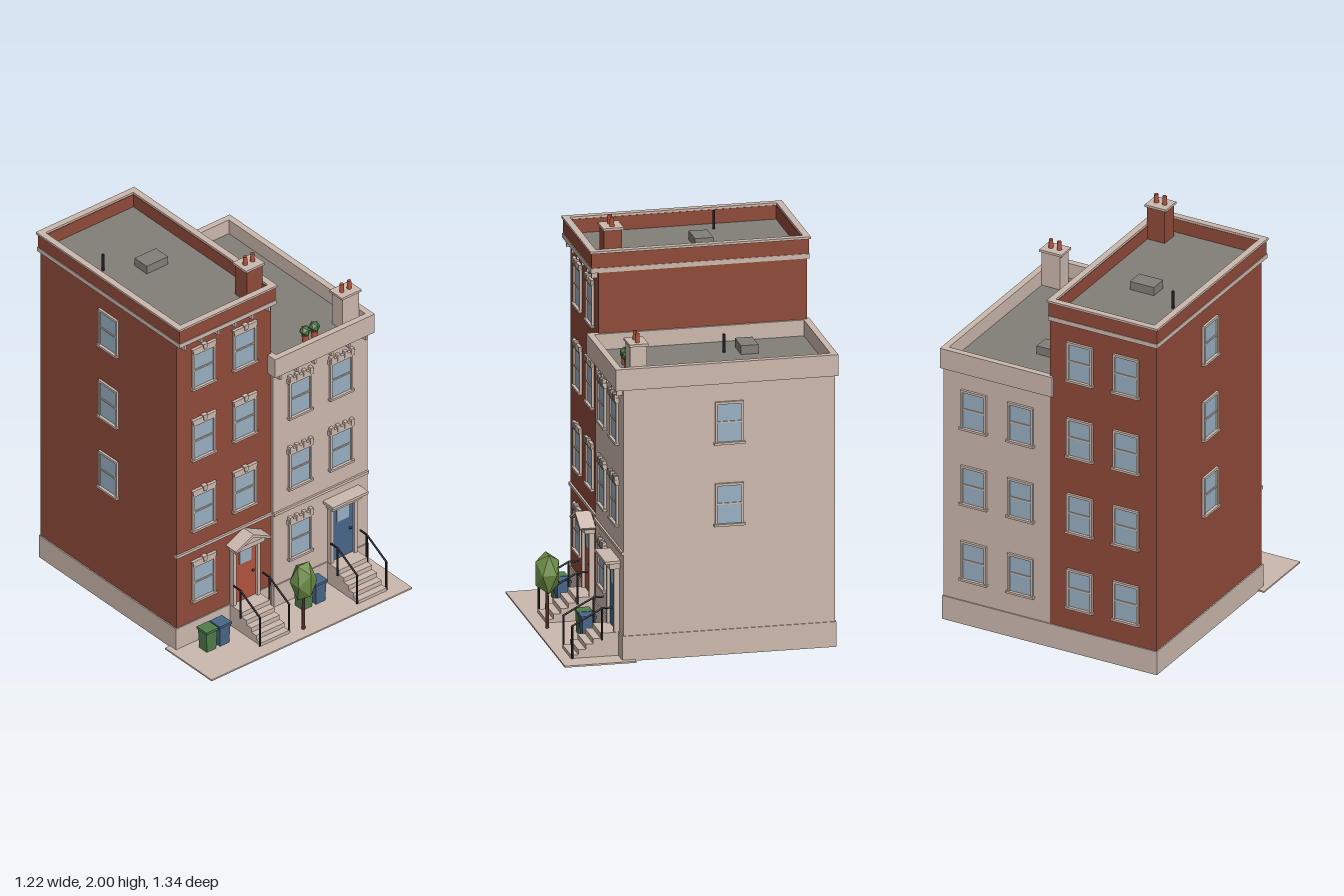
import * as THREE from 'three';

const mat = (name, color, flatShading = false) => {
  const m = new THREE.MeshStandardMaterial({ color });
  m.name = name;
  m.flatShading = flatShading;
  return m;
};

export function createModel() {
  const model = new THREE.Group();
  model.name = 'townhouses';
  const brick = mat('brick', 0x8f4a39), stone = mat('stone', 0xcbb8ad), tar = mat('roof', 0x827e78);
  const glass = mat('glass', 0x98b0c3), red = mat('red', 0xb0543e), blue = mat('blue', 0x486688);
  const green = mat('green', 0x4f7d4b, true), leaf = mat('leaf', 0x6b8c44, true);
  const black = mat('iron', 0x1e1e20), bark = mat('bark', 0x4f2c22);

  const add = (parent, name, geo, material, x = 0, y = 0, z = 0) => {
    const m = new THREE.Mesh(geo, material);
    m.name = name;
    m.position.set(x, y, z);
    parent.add(m);
    return m;
  };
  const group = (parent, name, x = 0, y = 0, z = 0, turn = 0) => {
    const g = new THREE.Group();
    g.name = name;
    g.position.set(x, y, z);
    g.rotation.y = turn;
    parent.add(g);
    return g;
  };
  // Box from its limits
  const box = (p, name, m, x0, x1, y0, y1, z0, z1) =>
    add(p, name, new THREE.BoxGeometry(x1 - x0, y1 - y0, z1 - z0), m, (x0 + x1) / 2, (y0 + y1) / 2, (z0 + z1) / 2);
  const extrude = (p, name, m, pts, z0, z1) => {
    const s = new THREE.Shape(pts.map(a => new THREE.Vector2(...a)));
    return add(p, name, new THREE.ExtrudeGeometry(s, { depth: z1 - z0, bevelEnabled: false }), m, 0, 0, z0);
  };
  // Upright rectangular tube: outer limits, wall thickness, heights
  const ring = (p, name, m, x0, x1, z0, z1, t, y0, y1) => {
    const s = new THREE.Shape([[x0, -z1], [x1, -z1], [x1, -z0], [x0, -z0]].map(a => new THREE.Vector2(...a)));
    s.holes.push(new THREE.Path([[x0 + t, -z1 + t], [x0 + t, -z0 - t], [x1 - t, -z0 - t], [x1 - t, -z1 + t]]
      .map(a => new THREE.Vector2(...a))));
    const geo = new THREE.ExtrudeGeometry(s, { depth: y1 - y0, bevelEnabled: false });
    geo.rotateX(-Math.PI / 2);
    return add(p, name, geo, m, 0, y0, 0);
  };
  const rod = (p, name, m, r, a, b) => {
    const from = new THREE.Vector3(...a), to = new THREE.Vector3(...b);
    const rodMesh = add(p, name, new THREE.CylinderGeometry(r, r, from.distanceTo(to), 8), m);
    rodMesh.position.copy(from).add(to).multiplyScalar(0.5);
    rodMesh.quaternion.setFromUnitVectors(new THREE.Vector3(0, 1, 0), to.sub(from).normalize());
  };

  // Sash window facing +z with its sill at the origin; style picks the lintel
  const makeWindow = (p, x, y, z, turn, style) => {
    const g = group(p, 'window', x, y, z, turn);
    box(g, 'pane', glass, -0.06, 0.06, 0.01, 0.2, -0.002, 0.004);
    for (const s of [-1, 1]) box(g, 'jamb', stone, s * 0.0635 - 0.0055, s * 0.0635 + 0.0055, 0.008, 0.21, -0.002, 0.012);
    box(g, 'head', stone, -0.069, 0.069, 0.198, 0.21, -0.002, 0.0121);
    box(g, 'meetingRail', stone, -0.06, 0.06, 0.105, 0.113, -0.002, 0.009);
    box(g, 'sill', stone, -0.075, 0.075, 0, 0.011, -0.002, 0.019);
    if (style === 'keystone') {
      extrude(g, 'lintel', stone, [[-0.066, 0.206], [0.066, 0.206], [0.074, 0.235], [-0.074, 0.235]], -0.002, 0.016);
      extrude(g, 'keystone', stone, [[-0.008, 0.215], [0.008, 0.215], [0.013, 0.244], [-0.013, 0.244]], -0.002, 0.022);
    } else if (style === 'toothed') {
      box(g, 'lintel', stone, -0.077, 0.077, 0.206, 0.232, -0.002, 0.016);
      for (const t of [-0.062, -0.022, 0.022, 0.062]) box(g, 'tooth', stone, t - 0.009, t + 0.009, 0.215, 0.248, -0.002, 0.02);
    }
  };

  // Chimney with a cap and two pots
  const chimney = (p, m, x0, x1, z0, z1, y0, top) => {
    const g = group(p, 'chimney');
    box(g, 'stack', m, x0, x1, y0, top, z0, z1);
    box(g, 'chimneyCap', stone, x0 - 0.01, x1 + 0.01, top, top + 0.012, z0 - 0.006, z1 + 0.006);
    for (const s of [-1, 1])
      add(g, 'chimneyPot', new THREE.CylinderGeometry(0.01, 0.012, 0.046, 10), red, (x0 + x1) / 2 + s * 0.0225, top + 0.033, (z0 + z1) / 2);
  };

  // Door, frame, steps and railings around x = 0, on a wall at z = 0
  const entrance = (p, name, x, z, m, peaked) => {
    const g = group(p, name, x, 0, z);
    box(g, 'door', m, -0.064, 0.064, 0.125, 0.435, -0.005, 0.012);
    box(g, 'doorPane', glass, -0.036, 0.036, 0.335, 0.405, 0.01, 0.016);
    add(g, 'knob', new THREE.SphereGeometry(0.007, 10, 8), black, 0.045, 0.27, 0.017);
    for (const s of [-1, 1]) box(g, 'pilaster', stone, s * 0.073 - 0.009, s * 0.073 + 0.009, 0.12, 0.44, -0.005, 0.026);
    box(g, 'entablature', stone, -0.09, 0.09, 0.435, 0.467, -0.005, 0.05);
    if (peaked) {
      extrude(g, 'pediment', stone, [[-0.09, 0.466], [0.09, 0.466], [0, 0.512]], -0.005, 0.06);
      extrude(g, 'pedimentRoof', stone,
        [[-0.108, 0.468], [-0.1, 0.458], [0, 0.507], [0.1, 0.458], [0.108, 0.468], [0, 0.522]], -0.005, 0.076);
    } else {
      box(g, 'canopy', stone, -0.109, 0.109, 0.466, 0.48, -0.005, 0.075);
    }
    for (let i = 0; i < 5; i++)
      box(g, 'step', stone, -0.086, 0.086, i ? 0.0245 * i : 0.006, 0.0245 * (i + 1), -0.005, 0.236 - i * 0.036);
    for (const s of [-0.089, 0.089]) {
      rod(g, 'railPost', black, 0.005, [s, 0.008, 0.23], [s, 0.168, 0.23]);
      rod(g, 'railPost', black, 0.005, [s, 0.09, 0.085], [s, 0.248, 0.085]);
      rod(g, 'handrail', black, 0.005, [s, 0.166, 0.236], [s, 0.248, 0.083]);
      rod(g, 'handrail', black, 0.005, [s, 0.247, 0.087], [s, 0.247, 0.035]);
    }
  };

  // Bin with a tapered body and a lid
  const bin = (p, m, x, z) => {
    const g = group(p, 'bin', x, 0, z);
    const body = new THREE.CylinderGeometry(0.046, 0.04, 0.108, 4).toNonIndexed();
    body.rotateY(Math.PI / 4);
    body.computeVertexNormals();
    add(g, 'binBody', body, m, 0, 0.062, 0);
    box(g, 'binLid', m, -0.037, 0.037, 0.114, 0.126, -0.037, 0.037);
  };

  const hatchAndVent = (p, x0, x1, z0, z1, y, vx, vz) => {
    box(p, 'hatch', tar, x0, x1, y, y + 0.045, z0, z1);
    rod(p, 'vent', black, 0.007, [vx, y, vz], [vx, y + 0.092, vz]);
  };

  box(model, 'pavement', stone, -0.613, 0.61, 0, 0.008, 0.32, 0.667);

  // Tall brick house
  const tall = group(model, 'brickHouse');
  ring(tall, 'walls', brick, -0.577, 0, -0.65, 0.36, 0.02, 0, 1.755);
  box(tall, 'floor', stone, -0.56, -0.018, 0.1, 0.11, -0.635, 0.345);
  ring(tall, 'plinth', stone, -0.583, 0, -0.656, 0.366, 0.009, 0.001, 0.125);
  box(tall, 'beltCourse', stone, -0.58, 0, 0.525, 0.54, 0.35, 0.37);
  ring(tall, 'cornice', stone, -0.588, 0.004, -0.662, 0.398, 0.04, 1.745, 1.768);
  ring(tall, 'parapet', brick, -0.585, 0.001, -0.659, 0.394, 0.028, 1.768, 1.841);
  ring(tall, 'coping', stone, -0.592, 0.008, -0.667, 0.401, 0.033, 1.841, 1.852);
  box(tall, 'roof', tar, -0.575, -0.008, 1.75, 1.772, -0.65, 0.38);
  for (let i = 0; i < 6; i++) {
    const x = -0.545 + i * 0.103;
    box(tall, 'bracket', stone, x - 0.006, x + 0.006, 1.712, 1.746, 0.355, 0.388);
  }
  [0.235, 0.637, 1.04, 1.445].forEach((y, i) => {
    makeWindow(tall, -0.415, y, 0.36, 0, 'keystone');
    if (i) makeWindow(tall, -0.165, y, 0.36, 0, 'keystone');
    for (const x of [-0.415, -0.165]) makeWindow(tall, x, y, -0.65, Math.PI);
    if (i) makeWindow(tall, -0.577, y, -0.14, -Math.PI / 2);
  });
  chimney(tall, brick, -0.12, -0.025, 0.24, 0.328, 1.765, 1.943);
  hatchAndVent(tall, -0.335, -0.205, -0.245, -0.155, 1.77, -0.475, -0.31);
  entrance(tall, 'brickEntrance', -0.167, 0.36, red, true);
  bin(tall, green, -0.457, 0.447);
  bin(tall, blue, -0.377, 0.447);

  // Lower stone house
  const low = group(model, 'stoneHouse');
  ring(low, 'walls', stone, 0, 0.575, -0.65, 0.376, 0.02, 0, 1.35);
  box(low, 'floor', stone, 0.018, 0.557, 0.1, 0.11, -0.635, 0.36);
  ring(low, 'plinth', stone, 0, 0.58, -0.656, 0.382, 0.009, 0.001, 0.125);
  box(low, 'beltCourse', stone, 0, 0.578, 0.525, 0.54, 0.366, 0.386);
  ring(low, 'parapet', stone, -0.02, 0.588, -0.664, 0.415, 0.032, 1.34, 1.445);
  box(low, 'roof', tar, 0.005, 0.57, 1.345, 1.367, -0.645, 0.395);
  for (let i = 0; i < 6; i++) {
    const x = 0.025 + i * 0.105;
    box(low, 'bracket', stone, x - 0.006, x + 0.006, 1.307, 1.341, 0.37, 0.404);
  }
  [0.235, 0.637, 1.04].forEach((y, i) => {
    makeWindow(low, 0.16, y, 0.376, 0, 'toothed');
    if (i) makeWindow(low, 0.41, y, 0.376, 0, 'toothed');
    for (const x of [0.156, 0.41]) makeWindow(low, x, y, -0.65, Math.PI);
    if (i) makeWindow(low, 0.575, y, -0.137, Math.PI / 2);
  });
  chimney(low, stone, 0.456, 0.556, 0.257, 0.338, 1.36, 1.545);
  hatchAndVent(low, 0.105, 0.235, -0.36, -0.275, 1.365, 0.18, -0.205);
  entrance(low, 'stoneEntrance', 0.413, 0.376, blue, false);
  bin(low, green, 0.117, 0.461);
  bin(low, blue, 0.197, 0.461);

  // Potted shrubs on the lower roof
  for (const x of [0.262, 0.319]) {
    add(low, 'shrubPot', new THREE.CylinderGeometry(0.018, 0.014, 0.04, 10), red, x, 1.386, 0.295);
    add(low, 'shrub', new THREE.IcosahedronGeometry(0.028, 0), green, x, 1.427, 0.295);
  }

  // Street tree
  const tree = group(model, 'tree', -0.005, 0, 0.608);
  add(tree, 'trunk', new THREE.CylinderGeometry(0.007, 0.009, 0.2, 8), bark, 0, 0.108, 0);
  add(tree, 'crown', new THREE.IcosahedronGeometry(1, 0), leaf, 0, 0.28, 0).scale.set(0.066, 0.113, 0.066);

  return model;
}
